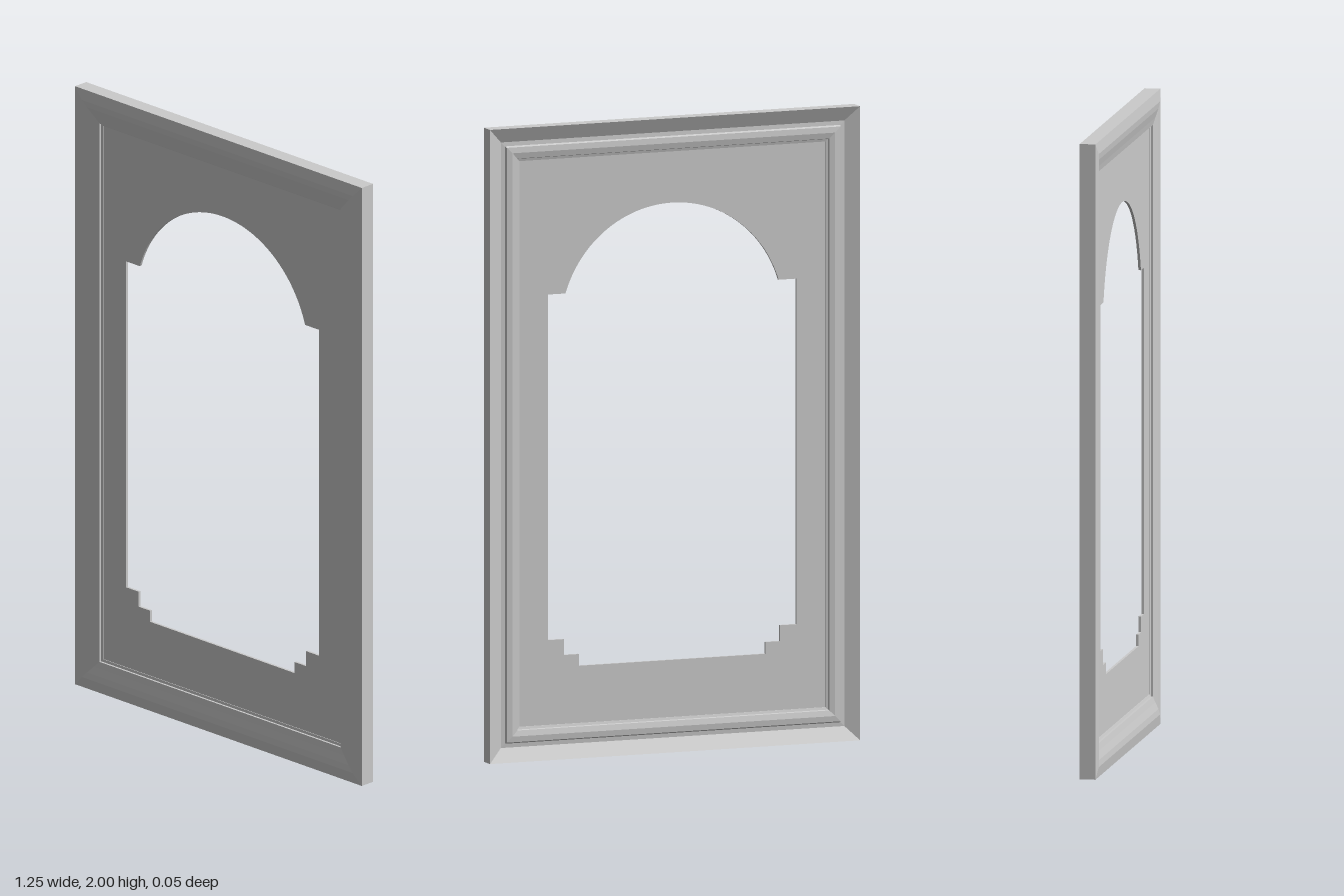
import * as THREE from 'three';

const W = 0.625, H = 1; // half width and half height
const material = new THREE.MeshStandardMaterial({ color: 0xcccccc, flatShading: true });

// Moulding section: [inset from the outer edge, z], front side first, then the back
const section = [
  [0, -0.028], [0, 0.022], [0.035, 0.027], [0.055, 0.025], [0.08, 0.019], [0.1, 0.015],
  [0.1, 0.008], [0.108, 0.006], [0.108, -0.006], [0.1, -0.008], [0.098, -0.014],
  [0.08, -0.018], [0.062, -0.016], [0.058, -0.009], [0.045, -0.008],
];

// Sweeps the section round the rectangle with mitred corners
function mitredFrame() {
  const corners = [[1, -1], [1, 1], [-1, 1], [-1, -1]];
  const n = section.length, positions = [], index = [];
  for (const [sx, sy] of corners)
    for (const [d, z] of section) positions.push(sx * (W - d), H + sy * (H - d), z);
  for (let c = 0; c < 4; c++)
    for (let i = 0; i < n; i++) {
      const j = (i + 1) % n, a = c * n, b = ((c + 1) % 4) * n;
      index.push(a + i, b + i, a + j, b + i, b + j, a + j);
    }
  const indexed = new THREE.BufferGeometry();
  indexed.setAttribute('position', new THREE.Float32BufferAttribute(positions, 3));
  indexed.setIndex(index);
  const geometry = indexed.toNonIndexed();
  geometry.computeVertexNormals();
  return geometry;
}

// Thin panel with an arched opening, stepped at the lower corners
function archedPanel() {
  const x = W - 0.105, y0 = 0.105, y1 = 2 * H - 0.105, thickness = 0.008;
  const shape = new THREE.Shape();
  shape.moveTo(-x, y0).lineTo(x, y0).lineTo(x, y1).lineTo(-x, y1).closePath();

  const half = [[0.315, 0.288], [0.315, 0.325], [0.365, 0.325], [0.365, 0.375], [0.42, 0.375], [0.42, 1.465], [0.36, 1.465]];
  const radius = 0.377, cy = 1.353, start = Math.atan2(1.465 - cy, 0.36);
  const opening = new THREE.Path();
  opening.moveTo(-half[0][0], half[0][1]);
  for (const [px, py] of half) opening.lineTo(px, py);
  opening.absarc(0, cy, radius, start, Math.PI - start, false);
  for (const [px, py] of [...half].reverse()) opening.lineTo(-px, py);
  shape.holes.push(opening);

  const geometry = new THREE.ExtrudeGeometry(shape, { depth: thickness, bevelEnabled: false, curveSegments: 32 });
  return geometry.translate(0, 0, -thickness / 2);
}

export function createModel() {
  const group = new THREE.Group();
  group.name = 'archedFrame';
  const parts = { mouldedFrame: mitredFrame(), archedPanel: archedPanel() };
  for (const [name, geometry] of Object.entries(parts)) {
    const mesh = new THREE.Mesh(geometry, material);
    mesh.name = name;
    group.add(mesh);
  }
  return group;
}
